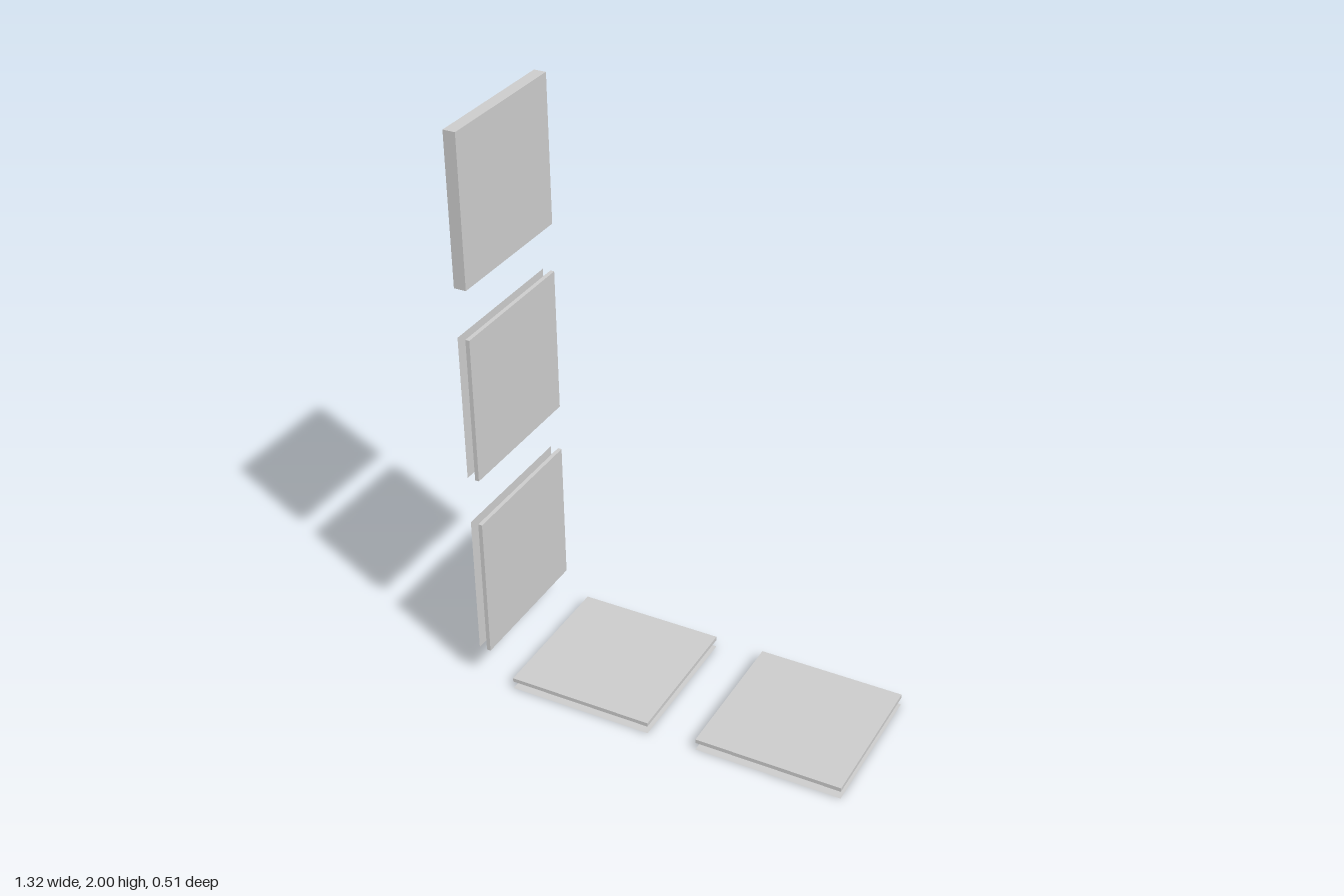
import * as THREE from 'three';

const S = 0.51, H = S / 2, GAP = 0.028, TOP = 0.042;
const mat = new THREE.MeshStandardMaterial({ color: 0xcccccc, side: THREE.DoubleSide });

// Broken edges as fractions of the tile: [across, in from the back edge]
const BREAK = [[.24, 0], [.2, .08], [.22, .16], [.17, .24], [.2, .34], [.24, .38], [.19, .46], [.21, .56],
  [.28, .58], [.27, .66], [.36, .65], [.42, .69], [.45, .62], [.53, .63], [.56, .54], [.64, .52],
  [.65, .43], [.72, .4], [.71, .3], [.78, .27], [.77, .17], [.84, .12], [.8, 0]];
const TOP_BREAK = [[.36, 0], [.33, .1], [.4, .2], [.37, .32], [.42, .42], [.36, .55], [.4, .7], [.5, .69],
  [.58, .73], [.68, .68], [.74, .7], [.72, .6], [.8, .52], [.76, .42], [.84, .36], [.82, .25],
  [.88, .18], [.85, 0]];

function add(group, name, geometry, x = 0, y = 0, z = 0) {
  const mesh = new THREE.Mesh(geometry, mat);
  mesh.name = name;
  mesh.position.set(x, y, z);
  group.add(mesh);
  return mesh;
}

// Fractions to local x/z; side picks which edge the break is measured from
const toLocal = (path, side) => path.map(([a, b]) => new THREE.Vector2(side * (H - a * S), -H + b * S));

// Tile outline with the break cut in from its back edge
function brokenShape(edge, side, front = H) {
  const v = (x, z) => new THREE.Vector2(x, z);
  return new THREE.Shape([v(side * H, -H), ...edge, v(-side * H, -H), v(-side * H, front), v(side * H, front)]);
}

// Faceted strip standing along the break
function breakWall(edge, height) {
  const pos = [];
  for (let i = 0; i < edge.length - 1; i++) {
    const p = edge[i], q = edge[i + 1];
    pos.push(p.x, 0, p.y, q.x, 0, q.y, q.x, height, q.y);
    pos.push(p.x, 0, p.y, q.x, height, q.y, p.x, height, p.y);
  }
  const g = new THREE.BufferGeometry();
  g.setAttribute('position', new THREE.Float32BufferAttribute(pos, 3));
  g.computeVertexNormals();
  return g;
}

// Slab above a thin broken sheet, with an open gap between them
function brokenTile(name, side) {
  const group = new THREE.Group();
  group.name = name;
  const edge = toLocal(BREAK, side);
  add(group, 'slab', new THREE.BoxGeometry(S, TOP - GAP, S), 0, (TOP + GAP) / 2, 0);
  add(group, 'brokenSheet', new THREE.ShapeGeometry(brokenShape(edge, side)).rotateX(Math.PI / 2));
  add(group, 'brokenEdge', breakWall(edge, GAP));
  return group;
}

// Top wall panel: two-part slab over a solid broken backing and a whole strip
function topTile() {
  const group = new THREE.Group();
  group.name = 'topWallPanel';
  const low = 0.09, strip = 0.125, t = TOP - GAP, y = (TOP + GAP) / 2;
  add(group, 'slab', new THREE.BoxGeometry(S - low, t, S), -low / 2, y, 0);
  add(group, 'baseTrim', new THREE.BoxGeometry(low, t, S), H - low / 2, y, 0);
  const shape = brokenShape(toLocal(TOP_BREAK, -1), -1, H - strip);
  const backing = new THREE.ExtrudeGeometry(shape, { depth: GAP, bevelEnabled: false });
  add(group, 'brokenBacking', backing.rotateX(Math.PI / 2).translate(0, GAP, 0));
  add(group, 'sideStrip', new THREE.BoxGeometry(S, GAP, strip), 0, GAP / 2, H - strip / 2);
  return group;
}

export function createModel() {
  const model = new THREE.Group();
  model.name = 'brokenWallAndFloorPanels';
  // Floor panels
  for (const x of [-0.28, 0.405]) {
    const tile = brokenTile('floorPanel', 1);
    tile.position.x = x;
    model.add(tile);
  }
  // Wall panels, slabs turned towards the floor panels
  const walls = [brokenTile('lowerWallPanel', -1), brokenTile('middleWallPanel', -1), topTile()];
  walls.forEach((tile, i) => {
    tile.rotation.z = -Math.PI / 2;
    tile.position.set(-0.66, 0.385 + i * 0.68, 0);
    model.add(tile);
  });
  return model;
}
